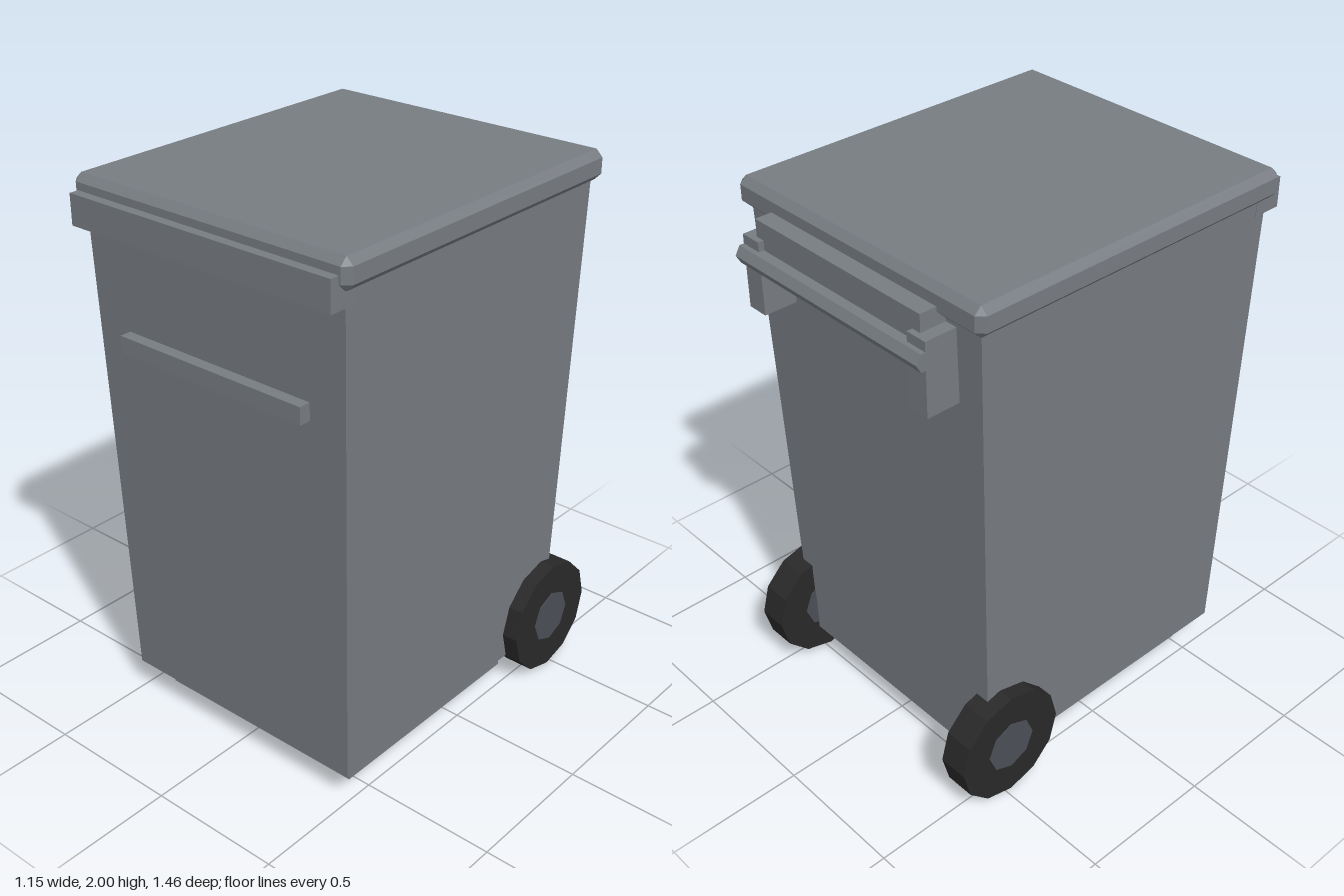
import * as THREE from 'three';
import { ConvexGeometry } from 'three/addons/geometries/ConvexGeometry.js';

const material = (name, color) => {
  const m = new THREE.MeshStandardMaterial({ color });
  m.name = name;
  return m;
};

// Box given by its minimum and maximum along each axis
function boxBetween(x0, x1, y0, y1, z0, z1) {
  return new THREE.BoxGeometry(x1 - x0, y1 - y0, z1 - z0)
    .translate((x0 + x1) / 2, (y0 + y1) / 2, (z0 + z1) / 2);
}

// Box with every edge cut flat by c
function chamferedBox(hx, hy, hz, c) {
  const points = [];
  for (const sx of [-1, 1]) for (const sy of [-1, 1]) for (const sz of [-1, 1]) {
    points.push(
      new THREE.Vector3(sx * hx, sy * (hy - c), sz * (hz - c)),
      new THREE.Vector3(sx * (hx - c), sy * hy, sz * (hz - c)),
      new THREE.Vector3(sx * (hx - c), sy * (hy - c), sz * hz));
  }
  return new ConvexGeometry(points);
}

// Bin body, widening towards the top
function taperedBody() {
  const geometry = new THREE.BoxGeometry(1, 1, 1);
  const p = geometry.attributes.position;
  for (let i = 0; i < p.count; i++) {
    const top = p.getY(i) > 0;
    const halfX = top ? 0.542 : 0.503;
    const front = top ? 0.664 : 0.615;
    const back = top ? -0.577 : -0.525;
    p.setXYZ(i, Math.sign(p.getX(i)) * halfX, top ? 1.91 : 0.11, p.getZ(i) > 0 ? front : back);
  }
  geometry.computeVertexNormals();
  return geometry;
}

export function createModel() {
  const group = new THREE.Group();
  group.name = 'wheeledBin';

  const plastic = material('grey plastic', 0x777c82);
  const rubber = material('black rubber', 0x292929);
  const hubGrey = material('hub grey', 0x4b4e56);

  const add = (name, geometry, mat) => {
    const mesh = new THREE.Mesh(geometry, mat);
    mesh.name = name;
    group.add(mesh);
    return mesh;
  };

  // Container
  add('body', taperedBody(), plastic);
  add('base', boxBetween(-0.43, 0.43, 0, 0.12, -0.35, 0.522), plastic);
  add('lid', chamferedBox(0.575, 0.0525, 0.652, 0.025), plastic).position.set(0, 1.9475, 0.042);

  // Front trim
  add('frontRim', boxBetween(-0.543, 0.543, 1.84, 1.948, 0.62, 0.728), plastic);
  add('frontGrip', boxBetween(-0.39, 0.39, 1.43, 1.492, 0.62, 0.695), plastic);

  // Rear hinge and handle
  add('hinge', boxBetween(-0.39, 0.39, 1.84, 1.937, -0.672, -0.54), plastic);
  const rail = new THREE.CylinderGeometry(0.036, 0.036, 0.87, 6)
    .rotateZ(Math.PI / 2);
  const railMesh = add('handleRail', rail.toNonIndexed(), plastic);
  railMesh.geometry.computeVertexNormals();
  railMesh.position.set(0, 1.81, -0.692);

  for (const side of [-1, 1]) {
    const label = side > 0 ? 'left' : 'right';
    const xs = [side * 0.355, side * 0.435].sort((a, b) => a - b);
    add(label + 'Bracket', boxBetween(xs[0], xs[1], 1.613, 1.875, -0.693, -0.54), plastic);

    // Wheel with a hub showing on both faces
    for (const [name, radius, width, sides, mat] of [
      ['Wheel', 0.217, 0.11, 12, rubber],
      ['Hub', 0.1, 0.116, 8, hubGrey],
    ]) {
      const geometry = new THREE.CylinderGeometry(radius, radius, width, sides)
        .rotateZ(Math.PI / 2).toNonIndexed();
      geometry.computeVertexNormals();
      add(label + name, geometry, mat).position.set(side * 0.511, 0.217, -0.478);
    }
  }
  return group;
}
